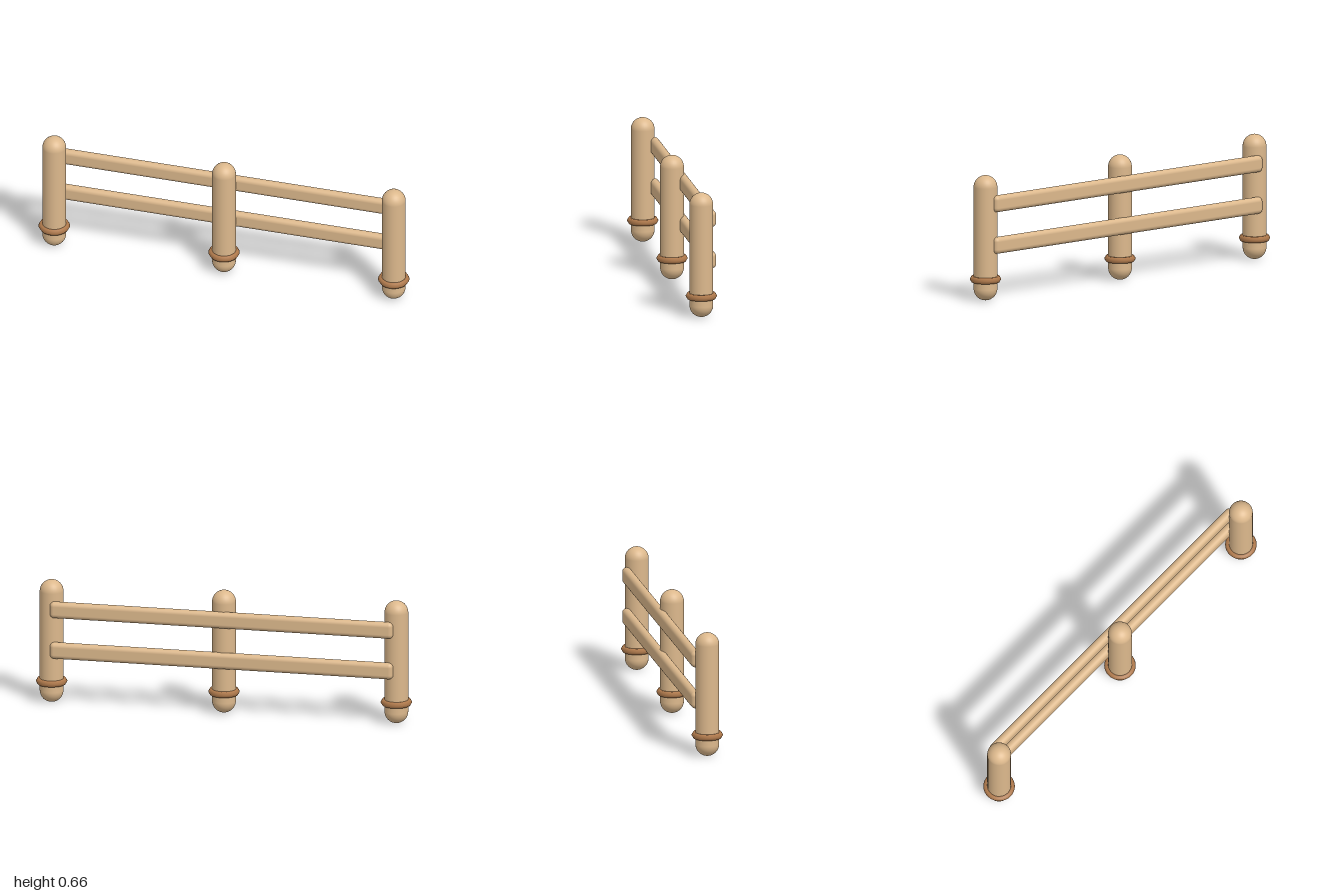
import * as THREE from 'three';
import { RoundedBoxGeometry } from 'three/addons/geometries/RoundedBoxGeometry.js';

const POST_X = 0.918, POST_R = 0.062, POST_H = 0.66;

export function createModel() {
  const fence = new THREE.Group();
  fence.name = 'fence';

  const wood = new THREE.MeshStandardMaterial({ color: 0xdcb88c });
  wood.name = 'pale wood';
  const band = new THREE.MeshStandardMaterial({ color: 0xb07a4c });
  band.name = 'brown band';

  const add = (name, geometry, material, x, y, z) => {
    const mesh = new THREE.Mesh(geometry, material);
    mesh.name = name;
    mesh.position.set(x, y, z);
    fence.add(mesh);
  };

  // Round-ended posts, each with a six-sided ring near its foot
  const postGeo = new THREE.CapsuleGeometry(POST_R, POST_H - 2 * POST_R, 10, 32);
  const ringGeo = new THREE.TorusGeometry(0.064, 0.018, 6, 32).rotateX(Math.PI / 2);
  [['right', -POST_X], ['middle', 0], ['left', POST_X]].forEach(([side, x]) => {
    add(side + 'Post', postGeo, wood, x, POST_H / 2, 0);
    add(side + 'Ring', ringGeo, band, x, 0.112, 0);
  });

  // Rounded rails set into the backs of the posts
  const railGeo = new RoundedBoxGeometry(1.828, 0.088, 0.048, 5, 0.0235);
  add('upperRail', railGeo, wood, 0, 0.514, -0.058);
  add('lowerRail', railGeo, wood, 0, 0.294, -0.058);

  return fence;
}
